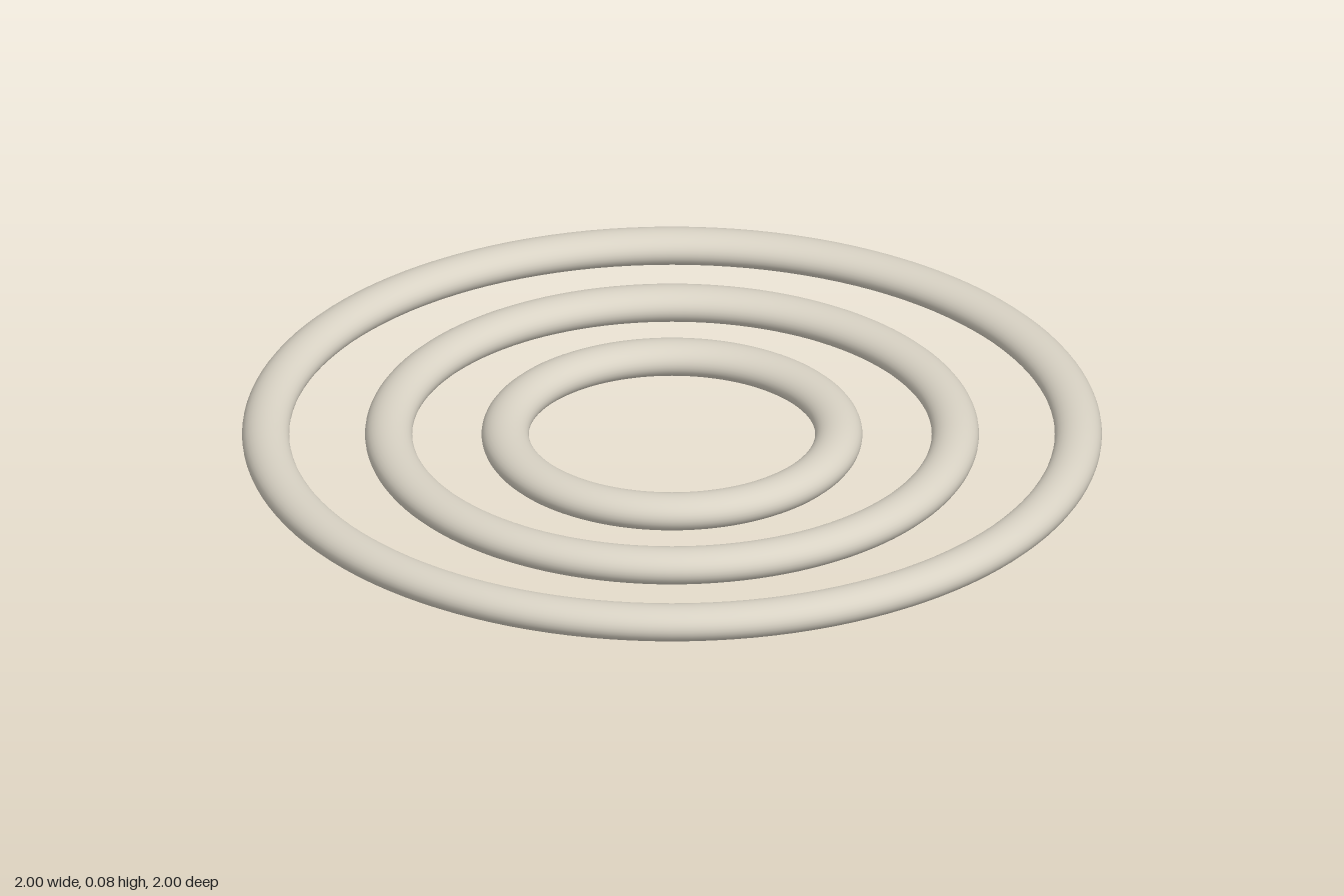
import * as THREE from 'three';

const HALF_WIDTH = 0.055;
const HALF_HEIGHT = 0.041;

// Flat-lying ring with an oval cross-section, resting on y = 0
function makeRing(name, radius, material) {
  const geometry = new THREE.TorusGeometry(radius, HALF_WIDTH, 32, 128);
  geometry.rotateX(-Math.PI / 2);
  geometry.scale(1, HALF_HEIGHT / HALF_WIDTH, 1);
  geometry.translate(0, HALF_HEIGHT, 0);
  const ring = new THREE.Mesh(geometry, material);
  ring.name = name;
  return ring;
}

export function createModel() {
  const model = new THREE.Group();
  model.name = 'concentricRings';

  const stone = new THREE.MeshStandardMaterial({ color: 0xd8d2c4 });
  stone.name = 'warm stone';

  // Three nested rings of equal thickness
  const rings = { outerRing: 0.945, middleRing: 0.659, innerRing: 0.388 };
  for (const [name, radius] of Object.entries(rings)) {
    model.add(makeRing(name, radius, stone));
  }
  return model;
}
